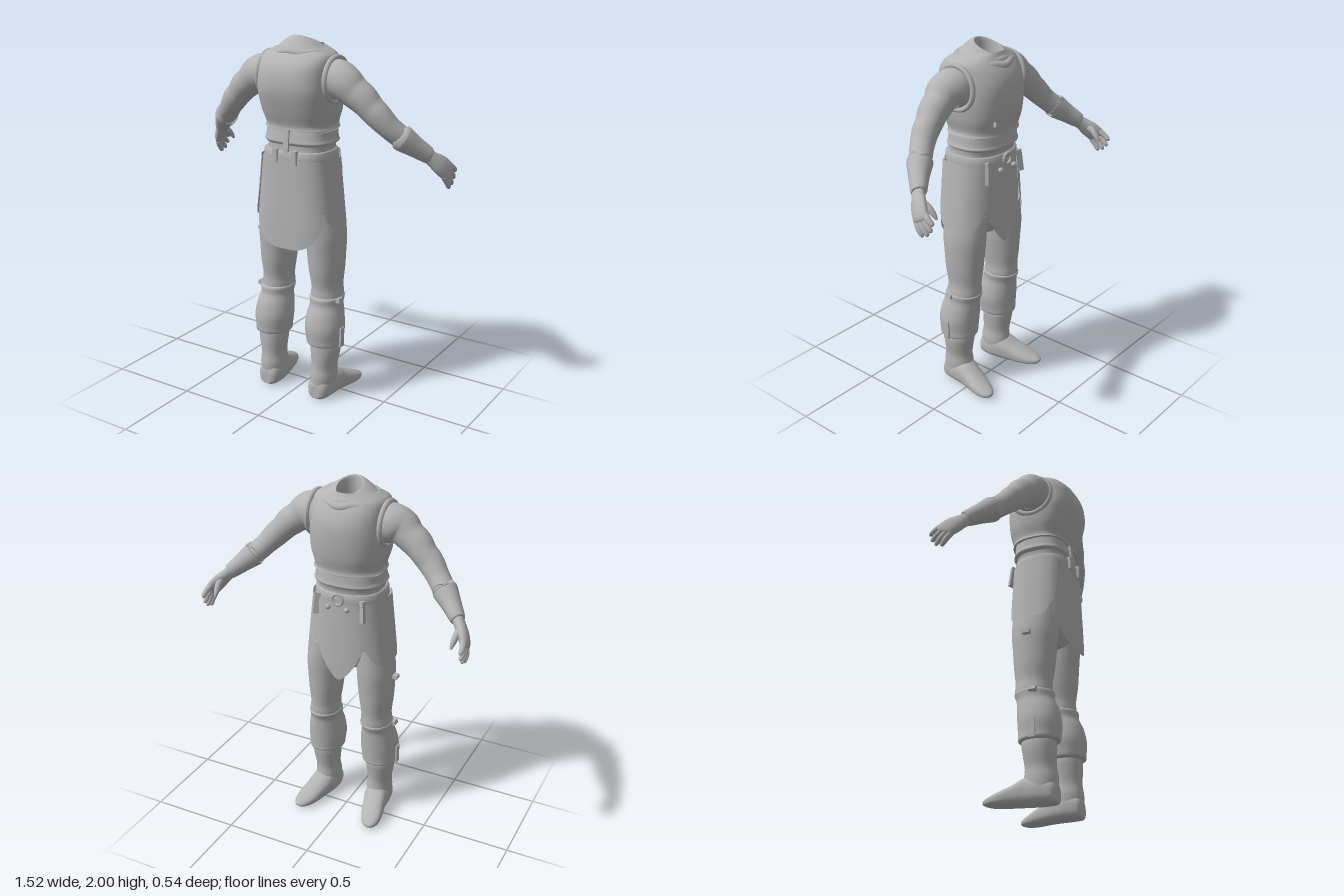
import * as THREE from 'three';

const V = (x, y, z) => new THREE.Vector3(x, y, z);
const rad = THREE.MathUtils.degToRad;

// Resample sections with a smooth curve through every value
function smooth(secs, n) {
  const out = [];
  const at = i => secs[Math.min(Math.max(i, 0), secs.length - 1)];
  for (let i = 0; i < secs.length - 1; i++)
    for (let k = 0; k < n; k++) {
      const t = k / n;
      out.push(at(i).map((b, m) => {
        const a = at(i - 1)[m], c = at(i + 1)[m], d = at(i + 2)[m];
        return b + 0.5 * t * (c - a + t * (2 * a - 5 * b + 4 * c - d + t * (3 * (b - c) + d - a)));
      }));
    }
  out.push(at(secs.length - 1));
  return out;
}

// Point on a rounded-box outline; angle 0 is the +z side, 90 the +x side
function outline(a, nBack, nFront) {
  const s = Math.sin(a), c = Math.cos(a), e = 2 / (c > 0 ? nBack : nFront);
  return [Math.sign(s) * Math.abs(s) ** e, Math.sign(c) * Math.abs(c) ** e];
}

// Skin over sections [x, y, z, radiusU, radiusW, tilt]; axis fixes the direction, otherwise it follows the path
function loft(sections, { axis, ref = V(1, 0, 0), sides = 28, steps = 4, nb = 2, nf = 2, caps = 3 } = {}) {
  const secs = smooth(sections.map(s => [...s, 0].slice(0, 6)), steps);
  const pos = [], idx = [], last = secs.length - 1;
  const centre = i => V(...secs[Math.min(Math.max(i, 0), last)].slice(0, 3));
  secs.forEach((s, i) => {
    const t = axis ? axis.clone() : centre(i + 1).sub(centre(i - 1)).normalize();
    const u = ref.clone().addScaledVector(t, -ref.dot(t)).normalize();
    const w = u.clone().cross(t);
    for (let j = 0; j < sides; j++) {
      const [p, q] = outline(j / sides * Math.PI * 2, nb, nf);
      const v = centre(i).addScaledVector(u, p * s[3]).addScaledVector(w, q * s[4]).addScaledVector(t, q * s[4] * s[5]);
      pos.push(v.x, v.y, v.z);
    }
  });
  for (let i = 0; i < last; i++)
    for (let j = 0; j < sides; j++) {
      const a = i * sides + j, b = i * sides + (j + 1) % sides;
      idx.push(a, b, b + sides, a, b + sides, a + sides);
    }
  const cap = (i, flip) => {
    const base = pos.length / 3, c = centre(i);
    for (let j = 0; j < sides; j++) pos.push(...pos.slice((i * sides + j) * 3, (i * sides + j) * 3 + 3));
    pos.push(c.x, c.y, c.z);
    for (let j = 0; j < sides; j++) {
      const a = base + j, b = base + (j + 1) % sides;
      idx.push(base + sides, flip ? b : a, flip ? a : b);
    }
  };
  if (caps & 1) cap(0, true);
  if (caps & 2) cap(last, false);
  return finish(pos, idx);
}

function finish(pos, idx) {
  const g = new THREE.BufferGeometry();
  g.setAttribute('position', new THREE.Float32BufferAttribute(pos, 3));
  g.setIndex(idx);
  g.computeVertexNormals();
  return g;
}

// Hanging panel wrapped round the hips, with its lower edge given by bottom(t), t from -1 to 1
function panel(a0, a1, top, bottom, out) {
  const pos = [], idx = [], N = 24, M = 10;
  for (let i = 0; i <= M; i++)
    for (let j = 0; j <= N; j++) {
      const y = THREE.MathUtils.lerp(bottom(j / N * 2 - 1), top, i / M);
      const k = Math.min(Math.max((1.4 - y) / 0.4, -0.1), 1);
      const [p, q] = outline(rad(THREE.MathUtils.lerp(a0, a1, j / N)), 2.9, 2.3);
      pos.push(p * (0.192 + 0.045 * k + out), y, 0.062 + q * (0.157 + 0.008 * k + out));
      if (i < M && j < N) {
        const a = i * (N + 1) + j, b = a + N + 1;
        idx.push(a, a + 1, b + 1, a, b + 1, b);
      }
    }
  return finish(pos, idx);
}

export function createModel() {
  const root = new THREE.Group();
  const clay = new THREE.MeshStandardMaterial({ color: 0xb4b4b4, side: THREE.DoubleSide });
  clay.name = 'plain grey';
  const add = (parent, name, geo, p = [0, 0, 0], r = [0, 0, 0]) => {
    const m = new THREE.Mesh(geo, clay);
    m.name = name;
    m.position.set(...p);
    m.rotation.set(...r);
    parent.add(m);
    return m;
  };
  const box = (...s) => new THREE.BoxGeometry(...s);
  const up = { axis: V(0, 1, 0), sides: 48, nb: 2.9, nf: 2.3 };

  // Torso: cuirass, waist and hips
  add(root, 'cuirass', loft([
    [0, 1.525, 0.045, 0.195, 0.162], [0, 1.55, 0.046, 0.188, 0.162], [0, 1.62, 0.05, 0.206, 0.185],
    [0, 1.72, 0.06, 0.214, 0.205], [0, 1.8, 0.062, 0.208, 0.203], [0, 1.86, 0.064, 0.203, 0.183],
    [0, 1.905, 0.06, 0.19, 0.148], [0, 1.93, 0.05, 0.15, 0.12], [0, 1.95, 0.04, 0.1, 0.1]], { ...up, caps: 1 }));
  add(root, 'waist', loft([[0, 1.36, 0.06, 0.183, 0.15], [0, 1.42, 0.055, 0.178, 0.145], [0, 1.46, 0.05, 0.182, 0.15],
    [0, 1.55, 0.045, 0.178, 0.152]], up));
  add(root, 'waistBand', loft([[0, 1.44, 0.052, 0.178, 0.145], [0, 1.455, 0.05, 0.197, 0.16],
    [0, 1.475, 0.05, 0.19, 0.157], [0, 1.515, 0.048, 0.186, 0.152]], up));
  add(root, 'cuirassPoint', panel(125, 235, 1.56, t => 1.475 + 0.045 * Math.abs(t), 0.008));
  add(root, 'hips', loft([[0, 0.93, 0.06, 0.05, 0.07], [0, 0.98, 0.06, 0.16, 0.11], [0, 1.05, 0.06, 0.218, 0.14],
    [0, 1.2, 0.06, 0.213, 0.15], [0, 1.4, 0.06, 0.185, 0.15]], up));

  // Open collar with a folded cloth round it
  add(root, 'collar', loft([[0, 1.9, 0.055, 0.175, 0.145, 0], [0, 1.935, 0.045, 0.135, 0.125, 0.1],
    [-0.005, 1.965, 0.025, 0.078, 0.09, 0.34], [-0.005, 1.955, 0.02, 0.062, 0.075, 0.34],
    [0, 1.84, 0.03, 0.06, 0.07, 0]], { ...up, nb: 2, nf: 2, caps: 2 }));
  const ring = [];
  for (let i = 0; i < 14; i++) {
    const a = i / 14 * Math.PI * 2, wob = i % 2 * 0.008;
    ring.push(V(Math.sin(a) * (0.145 + wob), 1.908 + 0.016 * Math.cos(a) - wob, 0.045 + Math.cos(a) * (0.125 + wob)));
  }
  add(root, 'neckCloth', new THREE.TubeGeometry(new THREE.CatmullRomCurve3(ring, true), 80, 0.024, 10, true));
  add(root, 'chestBuckle', box(0.045, 0.025, 0.012), [0.1, 1.6, -0.118], [0.15, 0.35, 0.2]);

  // Belt and fittings
  add(root, 'belt', loft([[0, 1.358, 0.06, 0.19, 0.158], [0, 1.362, 0.06, 0.196, 0.166], [0, 1.408, 0.06, 0.192, 0.163],
    [0, 1.412, 0.06, 0.18, 0.15]], { ...up, steps: 1 }));
  add(root, 'backStrap', box(0.03, 0.15, 0.012), [0, 1.455, 0.212], [-0.1, 0, 0]);
  for (const s of [-1, 1]) {
    add(root, 'beltLoop', box(0.028, 0.075, 0.02), [s * 0.06, 1.385, 0.225]);
    add(root, 'beltStud', new THREE.SphereGeometry(0.015, 12, 8), [s * 0.055, 1.335, -0.113]);
    add(root, 'beltHanger', box(0.032, 0.12, 0.018), [s * 0.135, 1.33, -0.087], [0.05, s * 0.5, s * 0.1]);
  }
  add(root, 'buckle', new THREE.TorusGeometry(0.03, 0.008, 8, 20), [0, 1.385, -0.112]);

  // Hanging panels
  add(root, 'backApron', panel(-54, 54, 1.37, t => 0.88 + 0.15 * Math.abs(t) ** 2.2, 0.006));
  add(root, 'frontApron', panel(136, 224, 1.37, t => 0.9 + 0.28 * Math.abs(t) ** 1.3, 0.002));

  // One side of the body, then its mirror image
  const side = new THREE.Group();
  side.name = 'leftSide';
  add(side, 'hipGuard', panel(46, 152, 1.37, t => 1.005 + 0.19 * Math.abs(t) ** 4, 0.014));
  add(side, 'armholeRim', new THREE.TorusGeometry(0.115, 0.014, 8, 32), [0.207, 1.785, 0.06], [0, Math.PI / 2, 0]);

  // Arm
  add(side, 'sleeve', loft([[0.16, 1.785, 0.065, 0.105, 0.1], [0.225, 1.785, 0.07, 0.105, 0.105], [0.275, 1.77, 0.078, 0.096, 0.093],
    [0.32, 1.735, 0.072, 0.082, 0.084], [0.37, 1.7, 0.065, 0.079, 0.078], [0.41, 1.658, 0.056, 0.07, 0.072],
    [0.45, 1.62, 0.048, 0.069, 0.067], [0.5, 1.565, 0.025, 0.06, 0.062], [0.545, 1.52, -0.005, 0.058, 0.058],
    [0.59, 1.485, -0.035, 0.05, 0.05]], { ref: V(0, 1, 0.3) }));
  const handRef = { ref: V(0, 0.7, -0.7), sides: 20 };
  add(side, 'cuff', loft([[0.555, 1.51, -0.012, 0.064, 0.062], [0.56, 1.506, -0.015, 0.069, 0.066], [0.61, 1.462, -0.055, 0.055, 0.052],
    [0.658, 1.42, -0.098, 0.046, 0.041], [0.668, 1.412, -0.107, 0.04, 0.036]], handRef));
  add(side, 'palm', loft([[0.65, 1.425, -0.09, 0.036, 0.03], [0.68, 1.395, -0.115, 0.042, 0.03],
    [0.712, 1.36, -0.148, 0.055, 0.03], [0.737, 1.325, -0.18, 0.053, 0.024], [0.743, 1.31, -0.19, 0.04, 0.015]], handRef));
  for (let i = 0; i < 4; i++) {
    const f = i - 1.5, len = [0.86, 1.02, 1, 0.82][i];
    const b = V(0.733, 1.328 + f * 0.018, -0.175 - f * 0.019);
    const at = (k, r) => [b.x + 0.03 * k - 0.022 * k * k, b.y + (-0.068 + f * 0.008) * k * len, b.z + (-0.066 - f * 0.006) * k * len, r, r];
    add(side, 'finger', loft([at(0, 0.016), at(0.5, 0.0155), at(0.9, 0.012), at(1.02, 0.004)], { ...handRef, sides: 10 }));
  }
  add(side, 'thumb', loft([[0.695, 1.385, -0.14, 0.022, 0.02], [0.69, 1.365, -0.185, 0.019, 0.018], [0.685, 1.335, -0.215, 0.015, 0.014],
    [0.683, 1.31, -0.235, 0.005, 0.005]], { ...handRef, sides: 12 }));

  // Leg, knee cover and boot
  add(side, 'trouserLeg', loft([[0.165, 0.52, 0.065, 0.08, 0.09], [0.162, 0.6, 0.057, 0.088, 0.1], [0.16, 0.66, 0.056, 0.083, 0.1],
    [0.158, 0.75, 0.058, 0.094, 0.112], [0.155, 0.85, 0.058, 0.102, 0.12], [0.153, 0.95, 0.058, 0.105, 0.128],
    [0.14, 1.08, 0.06, 0.1, 0.128]], { axis: V(0, 1, 0) }));
  add(side, 'kneeCover', loft([[0.17, 0.325, 0.09, 0.08, 0.08], [0.172, 0.332, 0.092, 0.1, 0.108], [0.17, 0.365, 0.093, 0.103, 0.112],
    [0.168, 0.43, 0.092, 0.109, 0.116], [0.166, 0.5, 0.082, 0.1, 0.112], [0.164, 0.555, 0.068, 0.089, 0.102],
    [0.162, 0.595, 0.06, 0.093, 0.108], [0.162, 0.605, 0.058, 0.08, 0.09]], { axis: V(0, 1, 0) }));
  add(side, 'bootShaft', loft([[0.168, 0.05, 0.1, 0.068, 0.085], [0.168, 0.13, 0.1, 0.073, 0.09], [0.17, 0.19, 0.098, 0.068, 0.083],
    [0.173, 0.26, 0.094, 0.078, 0.088], [0.173, 0.31, 0.09, 0.082, 0.092], [0.172, 0.36, 0.09, 0.075, 0.09]], { axis: V(0, 1, 0) }));
  add(side, 'bootFoot', loft([[0.165, 0.052, 0.19, 0.03, 0.036], [0.166, 0.066, 0.17, 0.058, 0.061], [0.168, 0.077, 0.1, 0.073, 0.073],
    [0.176, 0.078, 0.03, 0.07, 0.073], [0.19, 0.062, -0.03, 0.066, 0.056], [0.205, 0.048, -0.09, 0.063, 0.041],
    [0.217, 0.037, -0.145, 0.05, 0.027], [0.223, 0.033, -0.18, 0.028, 0.015], [0.224, 0.033, -0.19, 0.01, 0.006]],
  { axis: V(0, 0, -1), nb: 2.2, nf: 3 }));
  add(side, 'kneeBuckle', box(0.014, 0.11, 0.035), [0.276, 0.38, 0.095]);
  add(side, 'kneeTab', box(0.025, 0.022, 0.04), [0.257, 0.59, 0.09], [0, 0, 0.3]);
  root.add(side);
  const other = side.clone();
  other.name = 'rightSide';
  other.scale.x = -1;
  root.add(other);
  add(root, 'thighTab', box(0.035, 0.02, 0.04), [-0.268, 0.908, 0.06]);
  return root;
}
